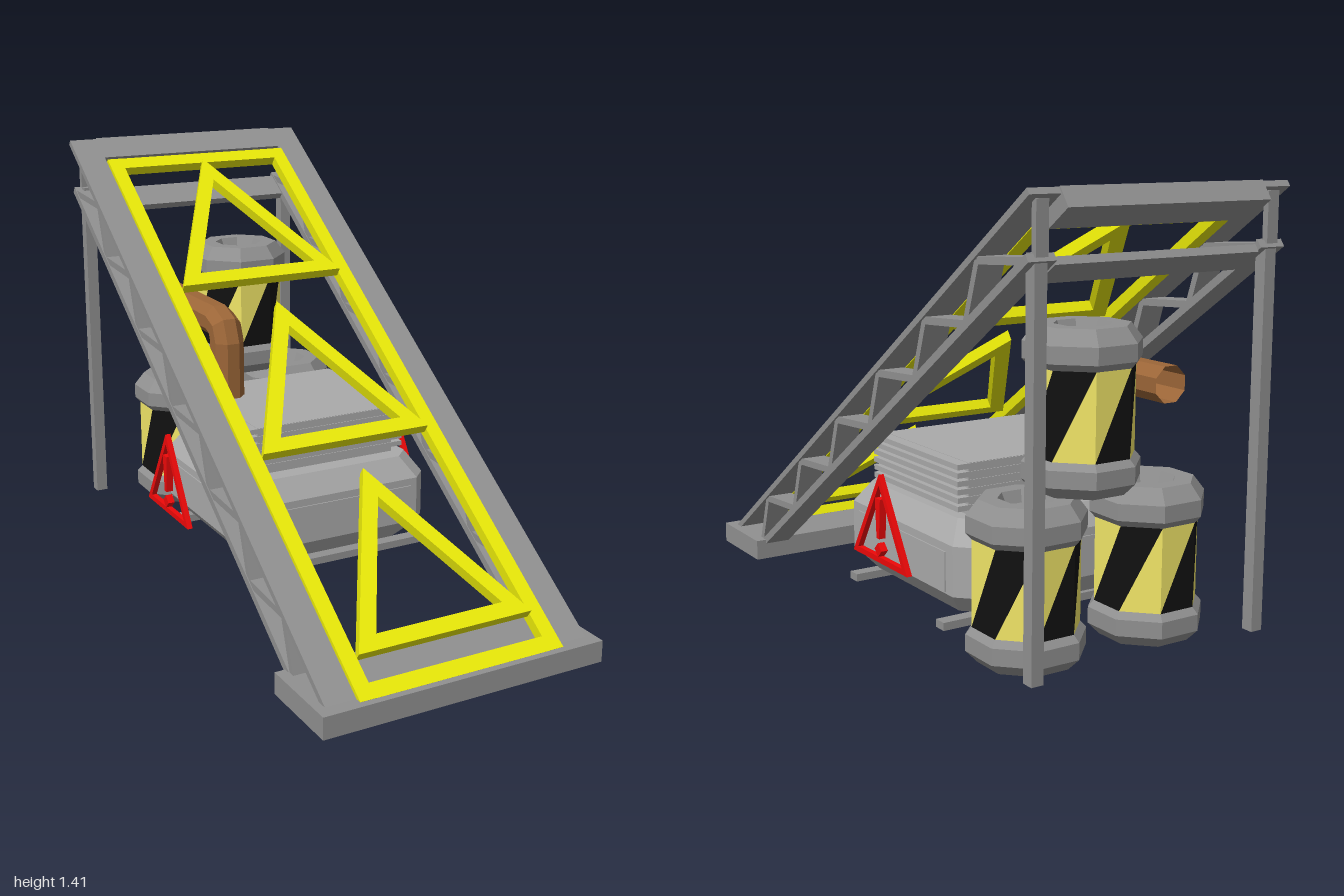
import * as THREE from 'three';

const mat = (color, extra = {}) => new THREE.MeshStandardMaterial({ color, flatShading: true, ...extra });
const steel = mat(0x909090), casingGrey = mat(0xaaaaaa), yellow = mat(0xe8e808), red = mat(0xee0808);
const brown = mat(0x9c6638, { side: THREE.DoubleSide });
const paleYellow = mat(0xf2e768), black = mat(0x111111);

function add(parent, name, geometry, material, x = 0, y = 0, z = 0) {
  const mesh = new THREE.Mesh(geometry, material);
  mesh.name = name;
  mesh.position.set(x, y, z);
  parent.add(mesh);
  return mesh;
}

// Box given by its limits on each axis
function span(parent, name, material, [x0, x1], [y0, y1], [z0, z1]) {
  return add(parent, name, new THREE.BoxGeometry(x1 - x0, y1 - y0, z1 - z0), material,
    (x0 + x1) / 2, (y0 + y1) / 2, (z0 + z1) / 2);
}

// Bar between two [z, y] points
function strut(parent, name, x, [z0, y0], [z1, y1], w, t) {
  const dz = z1 - z0, dy = y1 - y0;
  const m = add(parent, name, new THREE.BoxGeometry(w, t, Math.hypot(dz, dy)), steel, x, (y0 + y1) / 2, (z0 + z1) / 2);
  m.rotation.x = Math.atan2(-dy, dz);
}

function fromTriangles(points) {
  const g = new THREE.BufferGeometry().setFromPoints(points);
  g.computeVertexNormals();
  return g;
}

// Skin over a stack of rings
function loft(rings, capped) {
  const tris = [], n = rings[0].length;
  for (let i = 0; i + 1 < rings.length; i++) {
    for (let j = 0; j < n; j++) {
      const k = (j + 1) % n, a = rings[i], b = rings[i + 1];
      tris.push(a[j], a[k], b[k], a[j], b[k], b[j]);
    }
  }
  if (capped) {
    const a = rings[0], b = rings[rings.length - 1];
    for (let j = 1; j + 1 < n; j++) tris.push(a[0], a[j + 1], a[j], b[0], b[j], b[j + 1]);
  }
  return fromTriangles(tris);
}

// Isosceles triangle frame with its base on y = 0
function triangleFrame(halfWidth, height, bar, depth) {
  const outline = (w, y0, y1) => [[-w, y0], [w, y0], [0, y1]].map(p => new THREE.Vector2(...p));
  const side = Math.hypot(halfWidth, height);
  const top = height - bar * side / halfWidth;
  const inner = (top - bar) * halfWidth / height;
  const shape = new THREE.Shape(outline(halfWidth, 0, height));
  shape.holes.push(new THREE.Path(outline(inner, bar, top).reverse()));
  return new THREE.ExtrudeGeometry(shape, { depth, bevelEnabled: false });
}

function makeRamp() {
  const ramp = new THREE.Group();
  ramp.name = 'ramp';
  span(ramp, 'basePlate', steel, [-0.48, 0.48], [0, 0.07], [0.71, 1]);

  // Sloping deck: local y runs up the slope, local z is its normal
  const deck = new THREE.Group();
  deck.name = 'deck';
  deck.position.set(0, 0.06, 0.97);
  deck.rotation.x = Math.atan(0.7) - Math.PI / 2;
  ramp.add(deck);
  for (const s of [-1, 1]) {
    add(deck, 'deckRail', new THREE.BoxGeometry(0.1, 2.35, 0.02), steel, s * 0.4, 1.175, -0.01);
    add(deck, 'yellowSideBar', new THREE.BoxGeometry(0.05, 2.225, 0.035), yellow, s * 0.325, 1.113, -0.005);
  }
  span(deck, 'topBeam', steel, [-0.35, 0.35], [2.25, 2.355], [-0.065, 0]);
  span(deck, 'lowerTopBeam', steel, [-0.355, 0.355], [2.13, 2.23], [-0.16, -0.135]);
  for (const u of [0.025, 2.2]) {
    add(deck, 'yellowCrossBar', new THREE.BoxGeometry(0.6, 0.05, 0.035), yellow, 0, u, -0.005);
  }
  for (let i = 0; i < 3; i++) {
    add(deck, 'yellowTriangle', triangleFrame(0.3, 0.605, 0.05, 0.035), yellow, 0, 0.13 + i * 0.72, -0.004);
  }

  // Lattice sides and rear posts
  const low = k => [0.75 - 0.28 * k, 0.05 + 0.195 * k];
  const high = k => [0.69 - 0.28 * k, 0.23 + 0.195 * k];
  for (const x of [-0.4, 0.4]) {
    strut(ramp, 'lowerChord', x, [0.74, 0.05], [-0.95, 1.23], 0.09, 0.025);
    for (let k = 0; k < 6; k++) {
      strut(ramp, 'latticeUpright', x, low(k), high(k), 0.085, 0.022);
      strut(ramp, 'latticeTie', x, high(k), low(k + 1), 0.085, 0.022);
    }
    span(ramp, 'rearPost', steel, [x - 0.02, x + 0.02], [0.07, 1.24], [-0.95, -0.91]);
    span(ramp, 'postExtension', steel, [x - 0.02, x + 0.02], [1.23, 1.38], [-0.955, -0.935]);
  }
  return ramp;
}

function makeMachine() {
  const machine = new THREE.Group();
  machine.name = 'machine';
  machine.position.set(0.045, 0, -0.19);

  // Casing with every edge chamfered
  const ring = (y, inset) => {
    const w = 0.345 - inset, d = 0.36 - inset, c = 0.05;
    return [[-w + c, d], [w - c, d], [w, d - c], [w, -d + c], [w - c, -d], [-w + c, -d], [-w, -d + c], [-w, d - c]]
      .map(([x, z]) => new THREE.Vector3(x, y, z));
  };
  add(machine, 'casing', loft([ring(0.12, 0.06), ring(0.19, 0), ring(0.345, 0), ring(0.415, 0.045)], true), casingGrey);
  span(machine, 'sidePanels', casingGrey, [-0.349, 0.349], [0.195, 0.32], [-0.27, 0.27]);
  span(machine, 'endPanels', casingGrey, [-0.27, 0.27], [0.195, 0.32], [-0.364, 0.364]);
  for (const z of [-0.26, 0.29]) {
    span(machine, 'skid', steel, [-0.32, 0.36], [0.08, 0.105], [z - 0.022, z + 0.022]);
  }

  // Louvred upper housing
  span(machine, 'housing', casingGrey, [-0.255, 0.255], [0.4, 0.575], [-0.255, 0.255]);
  for (let i = 0; i < 6; i++) {
    const y = 0.43 + i * 0.0255;
    span(machine, 'louvre', casingGrey, [-0.295, 0.295], [y, y + 0.0165], [-0.258, 0.258]);
  }

  // Warning signs standing off both sides
  const polygon = pts => new THREE.Shape(pts.map(p => new THREE.Vector2(...p)));
  const mark = polygon([[-0.008, 0.078], [0.008, 0.078], [0.016, 0.205], [-0.016, 0.205]]);
  const dot = polygon([[0, 0.02], [0.022, 0.042], [0, 0.064], [-0.022, 0.042]]);
  for (const [s, x] of [[-1, -0.45], [1, 0.408]]) {
    const sign = new THREE.Group();
    sign.name = 'warningSign';
    sign.position.set(x, 0.23, -0.01);
    sign.rotation.y = s * Math.PI / 2;
    add(sign, 'signFrame', triangleFrame(0.17, 0.28, 0.018, 0.018), red);
    add(sign, 'signMark', new THREE.ExtrudeGeometry([mark, dot], { depth: 0.023, bevelEnabled: false }), red);
    machine.add(sign);
  }
  return machine;
}

// Eight-sided exhaust with a bent elbow; each stop is [y, z, turn]
function makePipe() {
  const rings = [[0.55, -0.32, 0], [0.77, -0.32, 0], [0.813, -0.337, 45], [0.83, -0.38, 90], [0.83, -0.84, 90]]
    .map(([y, z, turn]) => Array.from({ length: 8 }, (_, j) => {
      const t = (j + 0.5) * Math.PI / 4, f = turn * Math.PI / 180, r = 0.058;
      return new THREE.Vector3(-0.135 + r * Math.sin(t), y + r * Math.cos(t) * Math.sin(f), z + r * Math.cos(t) * Math.cos(f));
    }));
  const mesh = new THREE.Mesh(loft(rings, false), brown);
  mesh.name = 'exhaustPipe';
  return mesh;
}

function makeBarrel(x, y, z) {
  const barrel = new THREE.Group();
  barrel.name = 'barrel';
  barrel.position.set(x, y, z);
  barrel.rotation.y = Math.PI / 8;
  const lathe = pts => new THREE.LatheGeometry(pts.map(p => new THREE.Vector2(...p)), 8);
  add(barrel, 'barrelBase', lathe([[0, 0], [0.14, 0], [0.175, 0.035], [0.175, 0.085], [0.157, 0.105]]), steel);
  add(barrel, 'barrelTop', lathe([[0.157, 0.36], [0.175, 0.38], [0.175, 0.43], [0.14, 0.475], [0.085, 0.475], [0.07, 0.44], [0, 0.44]]), steel);

  // Slanted hazard stripes, two triangles per facet
  const stripes = [[], []];
  const at = (j, h) => new THREE.Vector3(0.157 * Math.sin(j * Math.PI / 4), h, 0.157 * Math.cos(j * Math.PI / 4));
  for (let j = 0; j < 8; j++) {
    stripes[j % 2].push(at(j, 0.105), at(j + 1, 0.105), at(j + 1, 0.36));
    stripes[(j + 1) % 2].push(at(j, 0.105), at(j + 1, 0.36), at(j, 0.36));
  }
  add(barrel, 'yellowStripes', fromTriangles(stripes[0]), paleYellow);
  add(barrel, 'blackStripes', fromTriangles(stripes[1]), black);
  return barrel;
}

export function createModel() {
  const model = new THREE.Group();
  model.name = 'rampWithGenerator';
  model.add(makeRamp(), makeMachine(), makePipe());
  for (const [x, y] of [[-0.12, 0.07], [0.31, 0.07], [0.125, 0.545]]) model.add(makeBarrel(x, y, -0.765));
  return model;
}
